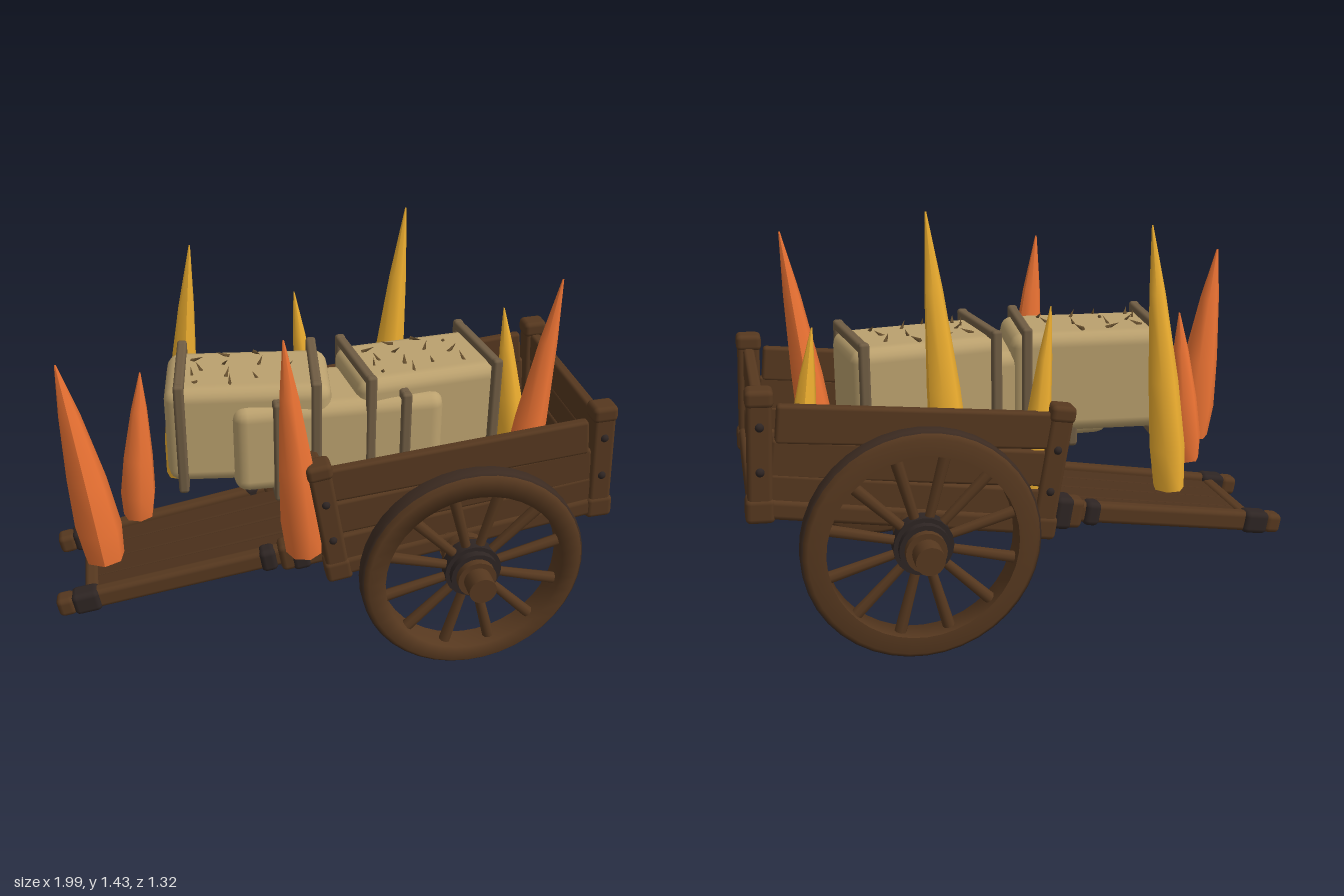
import * as THREE from 'three';
import { RoundedBoxGeometry } from 'three/addons/geometries/RoundedBoxGeometry.js';

const mat = (color, extra = {}) => new THREE.MeshStandardMaterial({ color, ...extra });
const wood = mat(0x56381f), plankWood = mat(0x4c311c), iron = mat(0x2e2523), tyreDark = mat(0x3c2b21);
const hay = mat(0xbba16e), slat = mat(0x6f5c43), straw = mat(0x6a5230);
const orange = mat(0xee7434, { side: THREE.DoubleSide });
const yellow = mat(0xf0b030, { side: THREE.DoubleSide });

function add(parent, name, geo, material, x = 0, y = 0, z = 0) {
  const m = new THREE.Mesh(geo, material);
  m.name = name;
  m.position.set(x, y, z);
  parent.add(m);
  return m;
}
const box = (w, h, d, r = 0.012) => new RoundedBoxGeometry(w, h, d, 2, Math.min(r, w / 3, h / 3, d / 3));
const group = (parent, name, x = 0, y = 0, z = 0) => {
  const g = new THREE.Group();
  g.name = name;
  g.position.set(x, y, z);
  parent.add(g);
  return g;
};

// Rounded bar running from a to b
function beam(parent, name, a, b, w, h, material) {
  const from = new THREE.Vector3(...a), to = new THREE.Vector3(...b);
  const m = new THREE.Mesh(box(w, h, from.distanceTo(to), 0.02), material);
  m.name = name;
  m.position.copy(from).lerp(to, 0.5);
  m.lookAt(to);
  parent.add(m);
}

// Cylinder lying along z between z0 and z1
function zRod(parent, name, r, z0, z1, material, x = 0, y = 0) {
  const geo = new THREE.CylinderGeometry(r, r, Math.abs(z1 - z0), 20).rotateX(Math.PI / 2);
  return add(parent, name, geo, material, x, y, (z0 + z1) / 2);
}

function buildWheel(parent, side) {
  const wheel = group(parent, side > 0 ? 'frontWheel' : 'backWheel', 0.443, 0.4, side * 0.518);
  const ring = (r0, r1, t, b) => new THREE.LatheGeometry([
    [r0, -t], [r1 - b, -t], [r1, -t + b], [r1, t - b], [r1 - b, t], [r0, t], [r0, -t],
  ].map(p => new THREE.Vector2(...p)), 40).rotateX(Math.PI / 2);
  add(wheel, 'rim', ring(0.315, 0.388, 0.045, 0.015), wood);
  add(wheel, 'tyre', ring(0.375, 0.395, 0.03, 0.008), tyreDark);
  for (let i = 0; i < 12; i++) {
    const a = (i + 0.5) * Math.PI / 6;
    const spoke = add(wheel, 'spoke', new THREE.CylinderGeometry(0.021, 0.016, 0.26, 8), wood,
      -Math.sin(a) * 0.2, Math.cos(a) * 0.2);
    spoke.rotation.z = a;
  }
  // Hub, collars and axle end
  zRod(wheel, 'hub', 0.085, -0.05, 0.05, iron);
  zRod(wheel, 'hubBand', 0.1, -0.025, 0.025, iron);
  zRod(wheel, 'hubCollar', 0.068, 0.05 * side, 0.075 * side, wood);
  zRod(wheel, 'axleEnd', 0.048, 0.05 * side, 0.142 * side, wood);
  zRod(wheel, 'innerHub', 0.06, -0.05 * side, -0.12 * side, wood);
  zRod(wheel, 'innerCollar', 0.08, -0.07 * side, -0.1 * side, wood);
}

// Bed in line with the shafts; its walls are taller at the shaft end
function buildBody(parent) {
  const body = group(parent, 'cartBody', 0.45, 0.436);
  body.rotation.z = 0.17;
  for (let i = 0; i < 6; i++)
    add(body, 'floorPlank', box(0.98, 0.04, 0.126), plankWood, 0.02, (i % 2) * 0.004, (i - 2.5) * 0.124);

  // End frames: headboard leans with the bed, tailgate stands almost upright
  const ends = [
    group(body, 'headboard', -0.458, 0, 0),
    group(body, 'tailgate', 0.502, 0, 0),
  ];
  ends[1].rotation.z = -0.12;
  ends.forEach((end, e) => {
    const top = e ? 0.4 : 0.435, rowH = (top - 0.055) / 3;
    for (let i = 0; i < 3; i++)
      add(end, 'endPlank', box(i === 1 ? 0.034 : 0.04, rowH, 0.7), wood, 0, 0.005 + rowH * (i + 0.5), 0);
    add(end, 'endSill', box(0.08, 0.075, 0.77, 0.018), wood, 0, 0.005, 0);
    for (const s of [-1, 1]) {
      add(end, 'cornerPost', box(0.08, top + 0.03, 0.075, 0.015), wood, 0, top / 2 - 0.015, s * 0.362);
      add(end, 'postCap', box(0.09, 0.06, 0.085, 0.018), wood, 0, top - 0.03, s * 0.362);
      add(end, 'postFoot', box(0.095, 0.085, 0.085, 0.018), wood, 0, -0.005, s * 0.362);
      for (const y of [0.13, 0.28])
        add(end, 'bolt', new THREE.SphereGeometry(0.016, 10, 6), iron, 0, y, s * 0.395);
    }
  });
  add(ends[1], 'tailgateRing', new THREE.TorusGeometry(0.015, 0.006, 6, 14).rotateY(Math.PI / 2), iron, 0.02, 0.28, -0.03);

  // Side planks fan out between the sloping sill and the flatter top edge
  for (const s of [-1, 1]) {
    for (let i = 0; i < 3; i++) {
      const f = (i + 0.5) / 3;
      const plank = add(body, 'sidePlank', box(0.95, 0.13, i === 1 ? 0.034 : 0.04), wood, 0.02 - 0.01 * f, 0.378 * f, s * 0.37);
      plank.rotation.z = -0.07 * f;
    }
    add(body, 'sideSill', box(1.0, 0.07, 0.06, 0.018), wood, 0.02, 0.003, s * 0.37);
  }
}

function buildShafts(parent) {
  const shafts = group(parent, 'shafts');
  const at = (x, s) => [x, 0.358 + 0.172 * x, s * (0.228 + 0.028 * Math.min(x, 0))];
  for (const s of [-1, 1]) {
    beam(shafts, 'shaft', at(-0.98, s), at(0.4, s), 0.055, 0.075, wood);
    beam(shafts, 'shaftTip', at(-0.995, s), at(-0.93, s), 0.07, 0.075, wood);
    beam(shafts, 'ironCap', at(-0.94, s), at(-0.84, s), 0.076, 0.085, iron);
    beam(shafts, 'ironBand', at(-0.26, s), at(-0.2, s), 0.068, 0.09, iron);
    beam(shafts, 'shaftBrace', at(-0.19, s), at(0.08, s), 0.08, 0.11, wood);
    beam(shafts, 'ironBand', at(-0.15, s), at(-0.08, s), 0.09, 0.12, iron);
  }
  // Boards between the shafts
  for (let i = 0; i < 4; i++) {
    const z = (i - 1.5) * 0.1;
    beam(shafts, 'footBoard', [-0.87, 0.207, z * 0.95], [0.02, 0.36, z * 1.08], 0.106, 0.03, plankWood);
  }
  beam(shafts, 'crossBar', at(-0.87, -1), at(-0.87, 1), 0.05, 0.05, wood);
  zRod(shafts, 'rearCrossBar', 0.035, -0.3, 0.3, wood, 0.03, 0.34);
}

function buildAxle(parent) {
  const axle = group(parent, 'axle');
  zRod(axle, 'axleBeam', 0.055, -0.41, 0.41, wood, 0.443, 0.37);
  for (const s of [-1, 1]) {
    zRod(axle, 'axleCollar', 0.066, s * 0.3, s * 0.35, wood, 0.443, 0.37);
    add(axle, 'axleBlock', box(0.14, 0.1, 0.065), wood, 0.443, 0.42, s * 0.36);
  }
}

// Rounded bale with slat frames around it and loose straw on top
function buildBale(parent, name, pos, turn, [w, h, d], slatXs, strawCount) {
  const bale = group(parent, name, ...pos);
  bale.rotation.y = turn;
  add(bale, 'bale', box(w, h, d, 0.05), hay);
  for (const x of slatXs) {
    for (const s of [-1, 1]) {
      add(bale, 'uprightSlat', box(0.036, h + 0.05, 0.032), slat, x, 0.003, s * (d / 2 + 0.008));
      add(bale, 'crossSlat', box(0.036, 0.034, d + 0.045), slat, x, s * (h / 2 + 0.008), 0);
    }
  }
  for (let i = 0; i < strawCount; i++) {
    const u = (i * 0.755 + 0.3) % 1 - 0.5, v = (i * 0.57 + 0.1) % 1 - 0.5;
    const bit = add(bale, 'strawBit', new THREE.ConeGeometry(0.009, 0.05, 4), straw, u * w * 0.75, h / 2 + 0.008, v * d * 0.75);
    bit.rotation.set(0.6 * Math.sin(i * 3), i * 2.1, 1.2 * Math.cos(i * 1.7));
  }
}

// Leaning spike, open at its base: base x/z, tip x/y/z, radius
function buildSpike(parent, [bx, bz, tx, ty, tz, r], material, i) {
  const y0 = 0.41, h = ty - y0;
  const profile = [[0.86, 0], [1, 0.16], [0.83, 0.42], [0.45, 0.75], [0.04, 1]];
  const geo = new THREE.LatheGeometry(profile.map(([k, t]) => new THREE.Vector2(k * r, t * h)), 7, i);
  const p = geo.attributes.position;
  for (let k = 0; k < p.count; k++) {
    const lean = (p.getY(k) / h) ** 1.15;
    p.setX(k, p.getX(k) + (tx - bx) * lean);
    p.setZ(k, p.getZ(k) + (tz - bz) * lean);
  }
  geo.computeVertexNormals();
  add(parent, 'spike', geo, material, bx, y0, bz);
}

export function createModel() {
  const model = new THREE.Group();
  model.name = 'loadedCart';
  buildBody(model);
  buildShafts(model);
  buildAxle(model);
  for (const s of [-1, 1]) buildWheel(model, s);

  const load = group(model, 'load');
  buildBale(load, 'leftBale', [-0.26, 0.793, -0.005], -0.11, [0.58, 0.37, 0.34], [-0.235, 0.235], 14);
  buildBale(load, 'rightBale', [0.36, 0.793, -0.015], 0.12, [0.54, 0.37, 0.34], [-0.235, 0.235], 14);
  buildBale(load, 'lowerBale', [0.04, 0.745, 0.035], 0, [0.75, 0.335, 0.33], [-0.22, 0.23], 0);

  const spikes = group(model, 'spikes');
  [
    [-0.81, 0.24, -0.9, 1.17, 0.26, 0.082],
    [-0.68, -0.01, -0.635, 0.99, -0.01, 0.065],
    [-0.115, 0.33, -0.18, 1.24, 0.35, 0.074],
    [0.69, 0.2, 0.8, 1.32, 0.2, 0.07],
  ].forEach((s, i) => buildSpike(spikes, s, orange, i));
  [
    [-0.505, -0.28, -0.425, 1.36, -0.24, 0.065],
    [0.03, -0.335, -0.04, 1.12, -0.33, 0.055],
    [0.29, -0.28, 0.365, 1.44, -0.275, 0.07],
    [0.815, -0.19, 0.735, 1.06, -0.18, 0.06],
  ].forEach((s, i) => buildSpike(spikes, s, yellow, i));
  return model;
}
